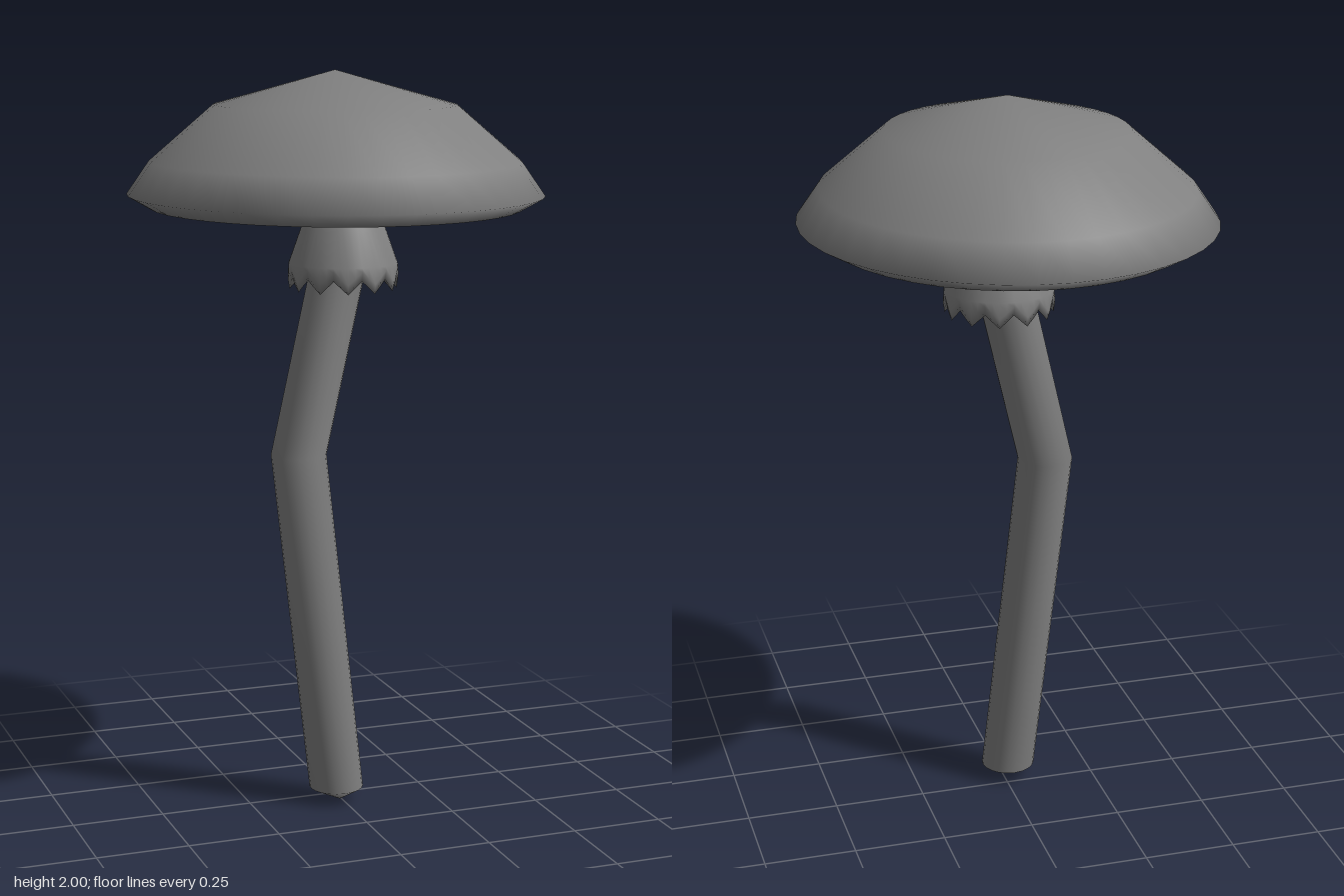
import * as THREE from 'three';
import { mergeVertices } from 'three/addons/utils/BufferGeometryUtils.js';

const material = new THREE.MeshStandardMaterial({ color: 0x808080 });
const thin = new THREE.MeshStandardMaterial({ color: 0x808080, side: THREE.DoubleSide });

// Turned part whose vertices may be moved by a rule, smooth over seam and poles
function turned(name, profile, segments, mat, rule = () => {}) {
  const points = profile.map(([r, y]) => new THREE.Vector2(r, y));
  const lathe = new THREE.LatheGeometry(points, segments);
  lathe.deleteAttribute('uv');
  lathe.deleteAttribute('normal');
  const geometry = mergeVertices(lathe);
  const pos = geometry.attributes.position;
  const v = new THREE.Vector3();
  for (let i = 0; i < pos.count; i++) {
    v.fromBufferAttribute(pos, i);
    rule(v);
    pos.setXYZ(i, v.x, v.y, v.z);
  }
  geometry.computeVertexNormals();
  const mesh = new THREE.Mesh(geometry, mat);
  mesh.name = name;
  return mesh;
}

export function createModel() {
  const group = new THREE.Group();
  group.name = 'mushroom';

  // Cap: smooth dome with a flat underside, slightly oval
  const cap = turned('cap', [
    [0, 1.635], [0.38, 1.635], [0.49, 1.64], [0.55, 1.675],
    [0.49, 1.762], [0.32, 1.91], [0, 2],
  ], 40, material, (v) => { v.z *= 0.59 / 0.55; });
  group.add(cap);

  // Stem: straight column sheared along a bent centre line
  const centre = [[0, -0.005, 0.052], [0.04, -0.015, 0.05], [0.98, -0.115, 0.03], [1.59, 0.034, 0]];
  const stem = turned('stem', [
    [0, 0], [0.074, 0.04], [0.075, 0.98], [0.075, 1.59],
  ], 20, material, (v) => {
    let i = 0;
    while (i < centre.length - 2 && v.y > centre[i + 1][0] + 1e-4) i++;
    const [y0, x0, z0] = centre[i];
    const [y1, x1, z1] = centre[i + 1];
    const t = (v.y - y0) / (y1 - y0);
    v.x += x0 + (x1 - x0) * t;
    v.z += z0 + (z1 - z0) * t;
  });
  group.add(stem);

  // Skirt: flared collar whose jagged lower edge folds inward
  const teeth = 12;
  const skirt = turned('skirt', [
    [0.122, 1.445], [0.144, 1.42], [0.148, 1.445],
    [0.146, 1.49], [0.107, 1.6], [0.078, 1.632], [0, 1.637],
  ], teeth * 4, thin, (v) => {
    if (v.y > 1.47) return;
    const phase = (Math.atan2(v.x, v.z) / (2 * Math.PI) + 1) * teeth;
    v.y += 0.035 * Math.abs((phase % 1) * 2 - 1);
  });
  skirt.position.x = 0.023;
  group.add(skirt);

  return group;
}
